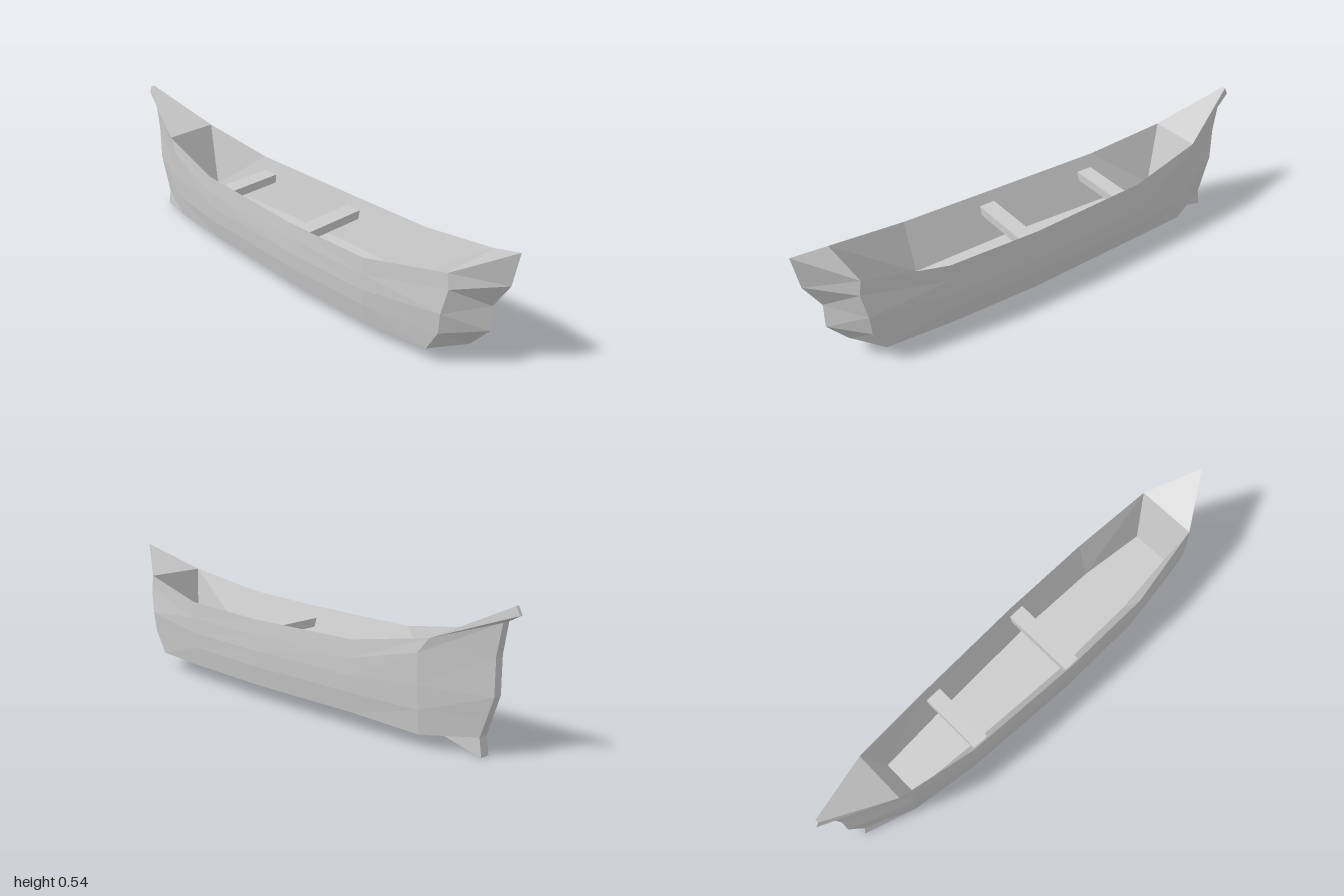
import * as THREE from 'three';

const material = new THREE.MeshStandardMaterial({ color: 0xcccccc, flatShading: true, side: THREE.DoubleSide });

// Collects quads and triangles, corners counter-clockwise seen from outside
class Facets {
  constructor() { this.points = []; }
  tri(a, b, c, flip) { this.points.push(...(flip ? [a, c, b] : [a, b, c])); }
  quad(a, b, c, d, flip) { this.tri(a, b, c, flip); this.tri(a, c, d, flip); }
  mesh(name) {
    const geometry = new THREE.BufferGeometry().setFromPoints(this.points);
    geometry.computeVertexNormals();
    const mesh = new THREE.Mesh(geometry, material);
    mesh.name = name;
    return mesh;
  }
}

// One cross-section: centre x, then z, y and half width for each level going up
const section = (cx, z, y, w) => ({
  at: (level, s) => new THREE.Vector3(cx + s * w[level], y[level], Array.isArray(z) ? z[level] : z),
});

// Hull cross-sections from bow to stern, five levels each
const hull = [
  section(0.014, [0.83, 0.91, 0.91, 0.975, 1], [0.073, 0.165, 0.265, 0.37, 0.505], [0, 0, 0, 0, 0]),
  section(0.01, [0.74, 0.79, 0.8, 0.82, 0.81], [0.067, 0.155, 0.24, 0.34, 0.4], [0.122, 0.126, 0.133, 0.123, 0.123]),
  section(0, 0.48, [0.067, 0.147, 0.21, 0.275, 0.34], [0.15, 0.163, 0.168, 0.168, 0.166]),
  section(0, 0.1, [0.067, 0.145, 0.21, 0.27, 0.333], [0.157, 0.17, 0.174, 0.172, 0.168]),
  section(0, -0.4, [0.067, 0.145, 0.21, 0.275, 0.342], [0.135, 0.148, 0.152, 0.152, 0.148]),
  section(0.005, [-0.68, -0.68, -0.68, -0.68, -0.72], [0.05, 0.14, 0.23, 0.345, 0.4], [0.1, 0.11, 0.115, 0.118, 0.108]),
];
// Stern post: skeg foot, the five hull levels, then the raised tip
const post = section(0.003,
  [-0.885, -0.875, -0.9, -0.925, -0.925, -0.945, -1, -0.985],
  [0, 0.07, 0.145, 0.22, 0.36, 0.475, 0.505, 0.535],
  [0.02, 0.02, 0.018, 0.018, 0.018, 0.016, 0.007, 0.007]);
const stern = hull[hull.length - 1];

function buildHull() {
  const f = new Facets();
  for (const s of [1, -1]) {
    const flip = s < 0;
    for (let k = 0; k < 4; k++) {
      for (let i = 0; i < hull.length - 1; i++) {
        const a = hull[i], b = hull[i + 1];
        f.quad(a.at(k, s), b.at(k, s), b.at(k + 1, s), a.at(k + 1, s), flip);
      }
      f.quad(stern.at(k, s), post.at(k + 1, s), post.at(k + 2, s), stern.at(k + 1, s), flip);
    }
    // sides of the raised tip
    for (const k of [5, 6]) f.tri(stern.at(4, s), post.at(k, s), post.at(k + 1, s), flip);
  }
  // flat bottom
  for (let i = 0; i < hull.length - 1; i++) {
    const a = hull[i], b = hull[i + 1];
    f.quad(a.at(0, 1), a.at(0, -1), b.at(0, -1), b.at(0, 1));
  }
  // back of the stern post
  for (let k = 0; k < 7; k++) f.quad(post.at(k, 1), post.at(k, -1), post.at(k + 1, -1), post.at(k + 1, 1));
  return f.mesh('hull');
}

// Lopsided wedge below the stern
function buildSkeg() {
  const f = new Facets();
  const root = new THREE.Vector3(0.03, 0.05, -0.69);
  const left = stern.at(0, -1), right = stern.at(0, 1);
  f.quad(root, left, post.at(0, -1), post.at(0, 1));
  f.tri(root, post.at(0, 1), post.at(1, 1));
  f.tri(right, root, post.at(1, 1));
  f.tri(left, post.at(1, -1), post.at(0, -1));
  return f.mesh('skeg');
}

// Triangular decks at both ends
function buildDecks() {
  const f = new Facets();
  const front = hull[1];
  f.tri(hull[0].at(4, 1), front.at(4, 1), front.at(4, -1));
  f.quad(stern.at(4, 1), post.at(7, 1), post.at(7, -1), stern.at(4, -1));
  return f.mesh('endDecks');
}

// Sloping inner walls and floor, hung from the gunwale
function buildInterior() {
  const f = new Facets();
  const floorZ = [0.76, 0.48, 0.1, -0.38, -0.65];
  const floorWidth = [0.078, 0.107, 0.112, 0.092, 0.075];
  const floor = floorZ.map((z, i) => section(0.01, z, [0.15], [floorWidth[i]]));
  const rim = hull.slice(1);
  for (let i = 0; i < 4; i++) {
    const a = floor[i], b = floor[i + 1];
    f.quad(a.at(0, 1), b.at(0, 1), b.at(0, -1), a.at(0, -1));
    for (const s of [1, -1]) f.quad(rim[i].at(4, s), rim[i + 1].at(4, s), b.at(0, s), a.at(0, s), s < 0);
  }
  f.quad(floor[0].at(0, 1), floor[0].at(0, -1), rim[0].at(4, -1), rim[0].at(4, 1));
  f.quad(floor[4].at(0, -1), floor[4].at(0, 1), rim[4].at(4, 1), rim[4].at(4, -1));
  return f.mesh('interior');
}

export function createModel() {
  const group = new THREE.Group();
  group.name = 'canoe';
  group.add(buildHull(), buildSkeg(), buildDecks(), buildInterior());
  // bench planks: name, width, z
  for (const [name, width, z] of [['frontBench', 0.315, 0.117], ['rearBench', 0.265, -0.35]]) {
    const bench = new THREE.Mesh(new THREE.BoxGeometry(width, 0.035, 0.067), material);
    bench.name = name;
    bench.position.set(0, 0.272, z);
    group.add(bench);
  }
  return group;
}
